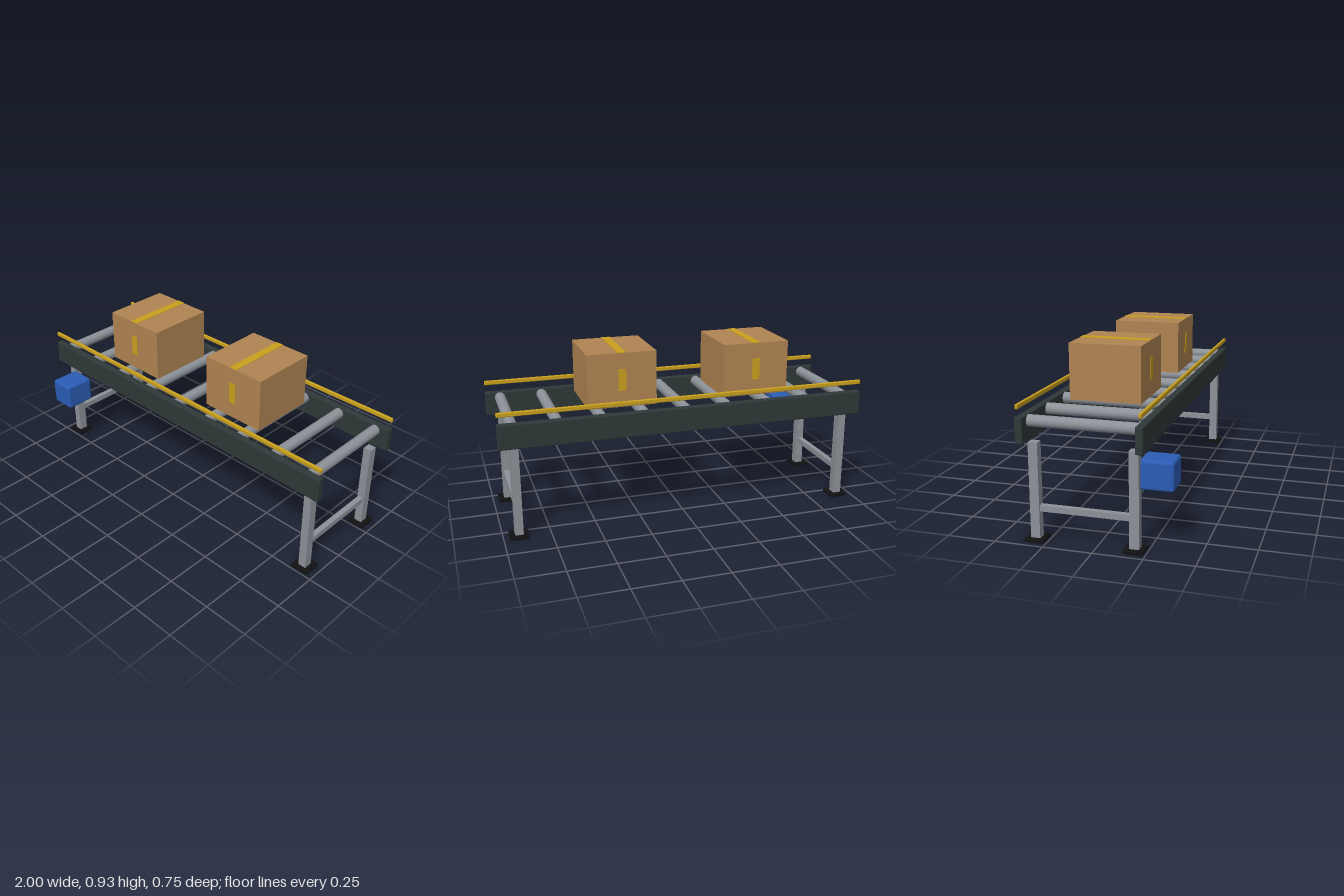
import * as THREE from 'three';
import { RoundedBoxGeometry } from 'three/addons/geometries/RoundedBoxGeometry.js';

const mat = (name, color) => {
  const m = new THREE.MeshStandardMaterial({ color });
  m.name = name;
  return m;
};

export function createModel() {
  const frame = mat('frame dark green grey', 0x2f3838);
  const steel = mat('steel grey', 0x8c9198);
  const yellow = mat('safety yellow', 0xc9a01e);
  const card = mat('cardboard', 0xb08452);
  const blue = mat('motor blue', 0x2b5cb5);
  const rubber = mat('foot black', 0x111111);

  const root = new THREE.Group();
  root.name = 'rollerConveyor';
  const midZ = -0.06; // centre line of the conveyor bed

  const add = (name, geometry, material, x, y, z, parent = root) => {
    const mesh = new THREE.Mesh(geometry, material);
    mesh.name = name;
    mesh.position.set(x, y, z);
    parent.add(mesh);
    return mesh;
  };
  const box = (w, h, d) => new THREE.BoxGeometry(w, h, d);
  const rounded = (w, h, d, r) => new RoundedBoxGeometry(w, h, d, 3, r);

  // Side beams and guard rails
  for (const s of [1, -1]) {
    const side = s > 0 ? 'front' : 'back';
    add(side + 'Beam', rounded(2, 0.131, 0.039, 0.006), frame, 0, 0.5685, midZ + s * 0.2925);
    add(side + 'GuardRail', rounded(2, 0.024, 0.016, 0.005), yellow, 0, 0.685, midZ + s * 0.298);
  }

  // Rollers
  const rollerGeo = new THREE.CylinderGeometry(0.029, 0.029, 0.55, 24).rotateX(Math.PI / 2);
  for (let i = -4; i <= 4; i++) add('roller', rollerGeo, steel, i * 0.23, 0.603, midZ);

  // Leg frames with feet and cross braces
  for (const x of [-0.918, 0.918]) {
    const legs = new THREE.Group();
    legs.name = x > 0 ? 'leftLegFrame' : 'rightLegFrame';
    root.add(legs);
    for (const s of [1, -1]) {
      const z = midZ + s * 0.25;
      add('leg', box(0.044, 0.496, 0.048), steel, x, 0.252, z, legs);
      add('foot', rounded(0.1, 0.016, 0.1, 0.003), rubber, x, 0.008, z, legs);
    }
    add('crossBrace', box(0.03, 0.031, 0.454), steel, x, 0.1685, midZ, legs);
  }

  // Drive motor
  add('motor', rounded(0.147, 0.147, 0.17, 0.015), blue, -0.836, 0.3775, 0.288);

  // Cartons with tape on the top and both ends
  for (const x of [-0.417, 0.333]) {
    const carton = new THREE.Group();
    carton.name = 'carton';
    carton.position.set(x, 0.632, midZ);
    root.add(carton);
    add('cartonBody', box(0.372, 0.29, 0.374), card, 0, 0.145, 0, carton);
    add('topTape', box(0.045, 0.004, 0.374), yellow, 0, 0.291, 0, carton);
    for (const s of [1, -1])
      add('endTape', box(0.042, 0.117, 0.004), yellow, 0, 0.146, s * 0.188, carton);
  }
  return root;
}
